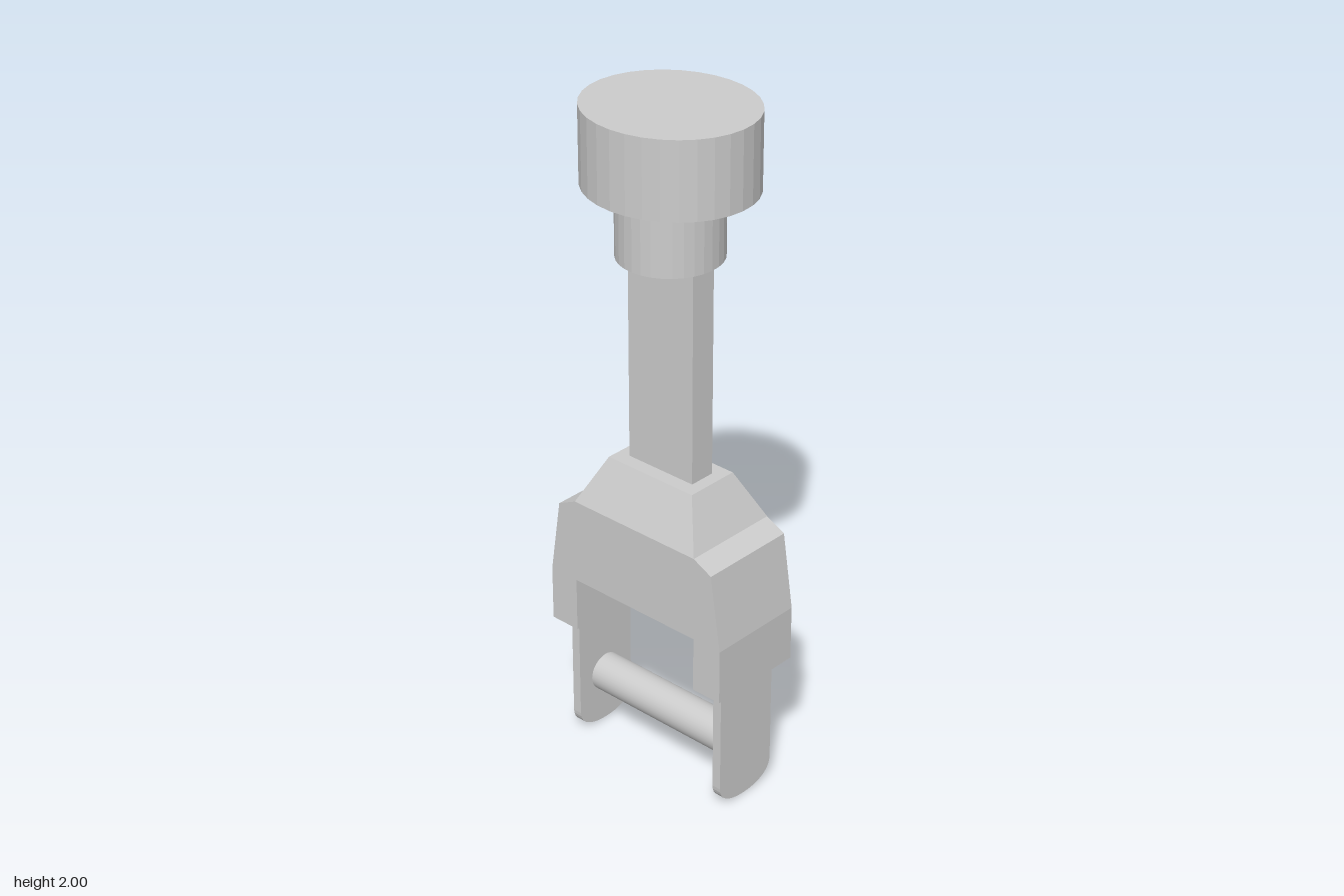
import * as THREE from 'three';

const flat = new THREE.MeshStandardMaterial({ color: 0xcccccc, flatShading: true });
const smooth = new THREE.MeshStandardMaterial({ color: 0xcccccc });

export function createModel() {
  const model = new THREE.Group();

  function add(name, geometry, y = 0, z = 0, material = flat) {
    const mesh = new THREE.Mesh(geometry, material);
    mesh.name = name;
    mesh.position.set(0, y, z);
    model.add(mesh);
    return mesh;
  }

  // Upright disc or drum, given its half-widths and its bottom and top heights
  function drum(name, rx, rz, y0, y1) {
    const geometry = new THREE.CylinderGeometry(1, 1, y1 - y0, 32);
    geometry.scale(rx, 1, rz);
    add(name, geometry, (y0 + y1) / 2);
  }

  // Oval knob, collar and flat shaft
  drum('knob', 0.224, 0.245, 1.78, 2);
  drum('collar', 0.147, 0.145, 1.583, 1.78);
  add('shaft', new THREE.BoxGeometry(0.08, 0.65, 0.23), 1.265);

  // Fork: arch profile in z and y, extruded across x
  const half = [[0.22, 0.395], [0.315, 0.395], [0.315, 0.56], [0.281, 0.785], [0.22, 0.815]];
  const outline = [
    [0.22, 0.56], ...half,
    ...half.map(([z, y]) => [-z, y]).reverse(), [-0.22, 0.56],
  ];
  const arch = new THREE.ExtrudeGeometry(
    new THREE.Shape(outline.map(([z, y]) => new THREE.Vector2(z, y))),
    { depth: 0.298, bevelEnabled: false });
  arch.translate(0, 0, -0.149).rotateY(-Math.PI / 2);
  add('fork', arch);

  // Shoulder: box whose top is drawn in towards the shaft
  const shoulder = new THREE.BoxGeometry(0.298, 0.14, 0.44);
  const p = shoulder.attributes.position;
  for (let i = 0; i < p.count; i++) {
    if (p.getY(i) > 0) {
      p.setX(i, Math.sign(p.getX(i)) * 0.082);
      p.setZ(i, Math.sign(p.getZ(i)) * 0.152);
    }
  }
  add('shoulder', shoulder, 0.885);

  // Thin hanging plates with rounded lower ends
  const w = 0.106;
  const plate = new THREE.Shape();
  plate.moveTo(w, 0.42);
  plate.lineTo(-w, 0.42);
  plate.lineTo(-w, 0.065);
  plate.bezierCurveTo(-w, 0.025, -0.065, 0, 0, 0);
  plate.bezierCurveTo(0.065, 0, w, 0.025, w, 0.065);
  const plateGeometry = new THREE.ExtrudeGeometry(plate,
    { depth: 0.028, bevelEnabled: false, curveSegments: 10 });
  plateGeometry.translate(0, 0, -0.014);
  for (const side of [1, -1]) {
    add(side > 0 ? 'frontPlate' : 'backPlate', plateGeometry, 0, side * 0.27);
  }

  // Cross pin between the plates
  const pin = new THREE.CylinderGeometry(0.057, 0.057, 0.53, 32);
  pin.rotateX(Math.PI / 2);
  add('crossPin', pin, 0.163, 0, smooth);

  return model;
}
